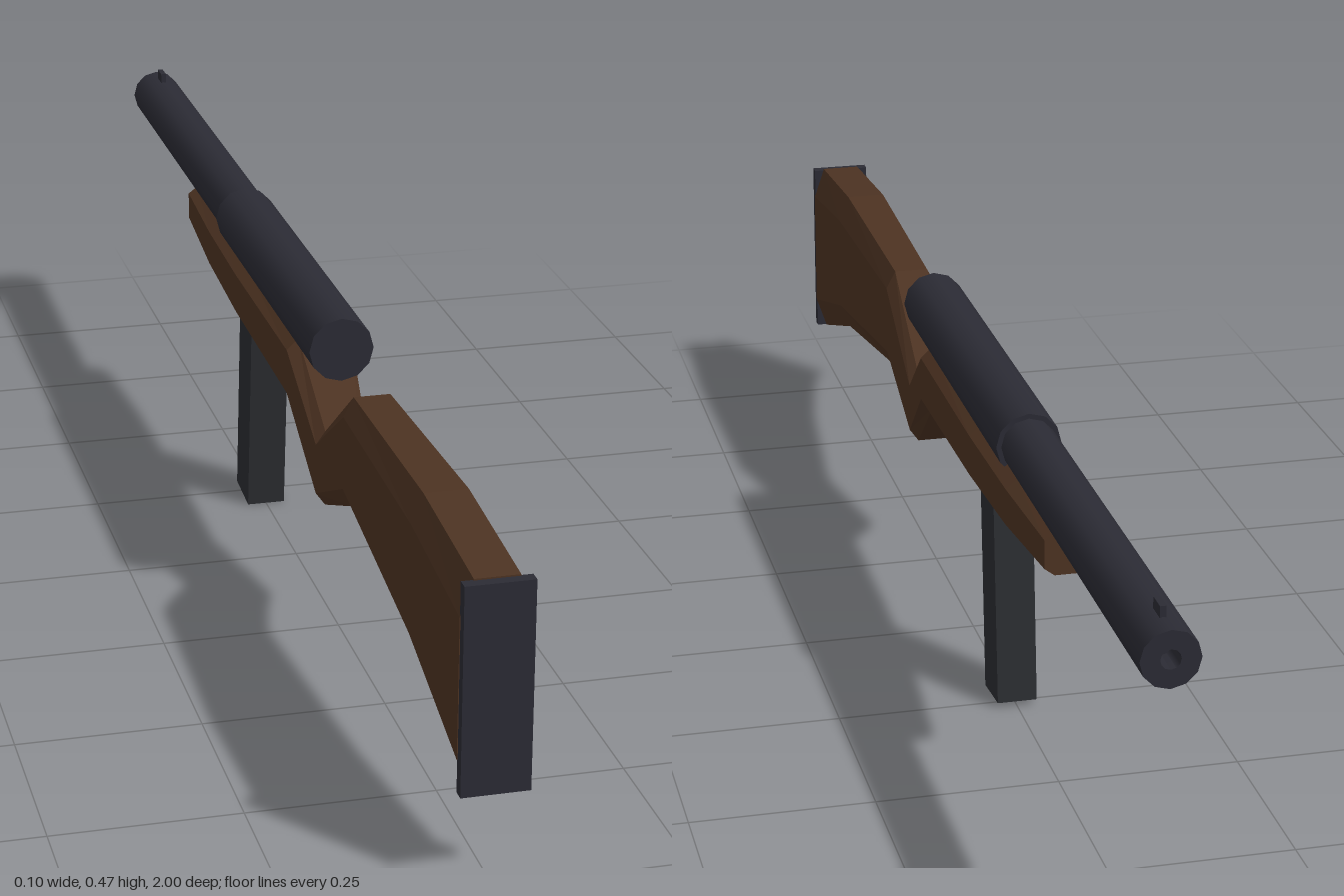
import * as THREE from 'three';
import { toCreasedNormals } from 'three/addons/utils/BufferGeometryUtils.js';

const wood = new THREE.MeshStandardMaterial({ name: 'wood', color: 0x4d3322 });
const steel = new THREE.MeshStandardMaterial({ name: 'steel', color: 0x2b2b34 });
const magazineSteel = new THREE.MeshStandardMaterial({ name: 'magazine steel', color: 0x2b2d31 });

const AXIS_Y = 0.417; // height of the barrel axis

function part(group, name, geometry, material, x = 0, y = 0, z = 0) {
  const mesh = new THREE.Mesh(geometry, material);
  mesh.name = name;
  mesh.position.set(x, y, z);
  group.add(mesh);
  return mesh;
}

// Lofts a chamfered section through rows of [z, top, bottom, halfWidth], from +z to -z
function loftStock(rows) {
  const rings = rows.map(([z, top, bottom, w]) => {
    const c = (top - bottom) * 0.17, n = w * 0.64;
    return [
      [n, bottom], [w, bottom + c], [w, top - c], [n, top],
      [-n, top], [-w, top - c], [-w, bottom + c], [-n, bottom],
    ].map(([x, y]) => [x, y, z]);
  });
  const positions = [];
  const tri = (a, b, c) => positions.push(...a, ...b, ...c);
  for (let r = 0; r < rings.length - 1; r++) {
    const a = rings[r], b = rings[r + 1];
    for (let i = 0; i < 8; i++) {
      const j = (i + 1) % 8;
      tri(a[i], b[i], a[j]);
      tri(a[j], b[i], b[j]);
    }
  }
  const first = rings[0], last = rings[rings.length - 1];
  for (let i = 1; i < 7; i++) {
    tri(first[0], first[i], first[i + 1]);
    tri(last[0], last[i + 1], last[i]);
  }
  const geometry = new THREE.BufferGeometry();
  geometry.setAttribute('position', new THREE.Float32BufferAttribute(positions, 3));
  geometry.computeVertexNormals();
  return geometry;
}

// Turned 12-sided part whose profile [radius, distance] runs towards -z
function turned(profile) {
  const points = profile.map(([r, d]) => new THREE.Vector2(r, d));
  const geometry = new THREE.LatheGeometry(points, 12).rotateX(-Math.PI / 2);
  return toCreasedNormals(geometry, 0.7);
}

export function createModel() {
  const model = new THREE.Group();
  model.name = 'woodStockGun';

  // One-piece wooden stock: butt, wrist and forend
  part(model, 'stock', loftStock([
    [0.986, 0.404, 0.124, 0.045],
    [0.77, 0.422, 0.198, 0.045],
    [0.42, 0.412, 0.256, 0.039],
    [0.265, 0.302, 0.193, 0.037],
    [0.137, 0.392, 0.295, 0.047],
    [-0.18, 0.392, 0.305, 0.048],
    [-0.377, 0.392, 0.315, 0.045],
    [-0.56, 0.392, 0.332, 0.038],
  ]), wood);
  part(model, 'buttPlate', new THREE.BoxGeometry(0.088, 0.276, 0.016), steel, 0, 0.264, 0.992);

  // Receiver tube and barrel with a hollow muzzle
  part(model, 'receiver', turned([[0, 0], [0.045, 0], [0.045, 0.585], [0, 0.585]]),
    steel, 0, AXIS_Y, 0.26);
  part(model, 'barrel', turned([[0.038, 0], [0.038, 0.7], [0.013, 0.7], [0.013, 0.66], [0, 0.66]]),
    steel, 0, AXIS_Y, -0.3);
  part(model, 'frontSight', new THREE.BoxGeometry(0.008, 0.02, 0.028), steel, 0, 0.459, -0.95);

  // Slightly raked magazine
  const magazine = part(model, 'magazine', new THREE.BoxGeometry(0.056, 0.33, 0.076),
    magazineSteel, 0, 0.168, -0.215);
  magazine.rotation.x = 0.1;

  // Curved hook and small stub under the wrist
  const hook = new THREE.CatmullRomCurve3([
    new THREE.Vector3(0, 0.305, 0.086),
    new THREE.Vector3(0, 0.277, 0.09),
    new THREE.Vector3(0, 0.256, 0.108),
    new THREE.Vector3(0, 0.248, 0.145),
  ]);
  part(model, 'trigger', new THREE.TubeGeometry(hook, 10, 0.006, 6), steel);
  part(model, 'triggerStub', new THREE.BoxGeometry(0.012, 0.03, 0.014), steel, 0, 0.287, 0.137);

  return model;
}
